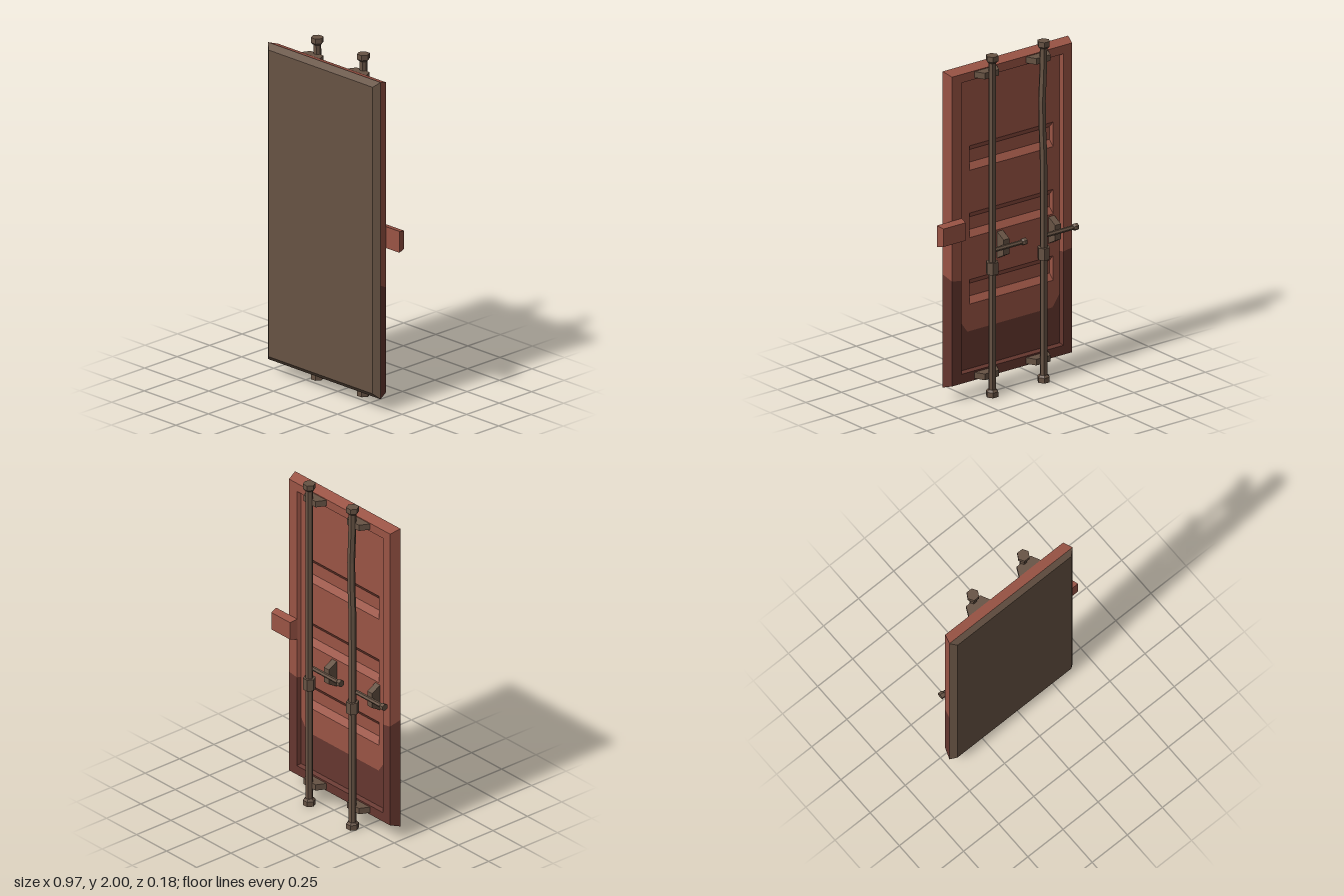
import * as THREE from 'three';

const mat = (name, color) => {
  const m = new THREE.MeshStandardMaterial({ color, flatShading: true });
  m.name = name;
  return m;
};

export function createModel() {
  const model = new THREE.Group();
  const red = mat('red paint', 0x9a5445);
  const darkRed = mat('dark red paint', 0x66372f);
  const brown = mat('brown metal', 0x675344);

  const add = (name, geo, material, parent = model) => {
    const m = new THREE.Mesh(geo, material);
    m.name = name;
    parent.add(m);
    return m;
  };

  // Strip of quads between two polylines of [x, y, z] points
  const strip = (a, b) => {
    const p = [];
    for (let i = 0; i < a.length - 1; i++) {
      p.push(...a[i], ...a[i + 1], ...b[i + 1], ...a[i], ...b[i + 1], ...b[i]);
    }
    const g = new THREE.BufferGeometry();
    g.setAttribute('position', new THREE.Float32BufferAttribute(p, 3));
    g.computeVertexNormals();
    return g;
  };
  // Rectangular ring, cut at height s into an upper and a lower polyline
  const ring = (x0, x1, y0, y1, z, s = (y0 + y1) / 2) => ({
    up: [[x0, s, z], [x0, y1, z], [x1, y1, z], [x1, s, z]],
    low: [[x1, s, z], [x1, y0, z], [x0, y0, z], [x0, s, z]],
  });
  const band = (name, a, b, upper, lower) => {
    add(name + 'Upper', strip(a.up, b.up), upper);
    add(name + 'Lower', strip(a.low, b.low), lower);
  };
  // Flat shape facing backwards (-z)
  const backFace = (pts, holes, z) => {
    const flip = (list) => list.map(([x, y]) => new THREE.Vector2(-x, y));
    const s = new THREE.Shape(flip(pts));
    holes.forEach((h) => s.holes.push(new THREE.Path(flip(h))));
    return new THREE.ShapeGeometry(s).rotateY(Math.PI).translate(0, 0, z);
  };
  const rect = (x0, x1, y0, y1) => [[x0, y0], [x1, y0], [x1, y1], [x0, y1]];

  // Door slab: front, bevel, sides, back frame and recess walls
  const cx = -0.045;
  const front = new THREE.PlaneGeometry(0.81, 1.795);
  add('doorFront', front.translate(cx, 1.0025, 0.088), brown);
  const rFront = ring(-0.45, 0.36, 0.105, 1.9, 0.088);
  const rEdge = ring(-0.485, 0.393, 0.075, 1.93, 0.06);
  band('frontBevel', rFront, rEdge, brown, brown);
  const rSide = ring(-0.485, 0.393, 0.075, 1.93, 0.06, 0.74);
  const rBack = ring(-0.465, 0.375, 0.095, 1.91, 0, 0.71);
  const rRim = ring(-0.405, 0.31, 0.15, 1.86, 0, 0.7);
  const X0 = -0.395, X1 = 0.3, Y0 = 0.16, Y1 = 1.85, Z = 0.022;
  band('doorSide', rSide, rBack, red, darkRed);
  band('backFrame', rBack, rRim, red, darkRed);
  band('recessWall', rRim, ring(X0, X1, Y0, Y1, Z, 0.7), red, darkRed);

  // Recessed panel with three grooves and a dark lower end
  const gx0 = -0.35, gx1 = 0.235;
  const grooves = [0.61, 1.0, 1.395].map((y) => [y - 0.072, y + 0.072]);
  const line = [[X0, 0.45], [X0 + 0.05, 0.38], [X1 - 0.05, 0.38], [X1, 0.45]];
  add('panelUpper', backFace([...line, [X1, Y1], [X0, Y1]],
    grooves.map(([a, b]) => rect(gx0, gx1, a, b)), Z), red);
  add('panelLower', backFace([[X0, Y0], [X1, Y0], ...line.slice().reverse()], [], Z), darkRed);
  for (const [a, b] of grooves) {
    const f = [gx0 + 0.004, gx1 - 0.004, a + 0.035, b - 0.035];
    band('grooveWall', ring(gx0, gx1, a, b, Z), ring(...f, 0.05), red, red);
    add('grooveFloor', backFace(rect(...f), [], 0.05), red);
  }

  // Box that narrows towards the back: base size at z0, end size at z1
  const taperBox = (w0, h0, w1, h1, z0, z1) => {
    const g = new THREE.BoxGeometry(1, 1, 1);
    const p = g.attributes.position;
    for (let i = 0; i < p.count; i++) {
      const base = p.getZ(i) > 0;
      p.setXYZ(i, p.getX(i) * (base ? w0 : w1), p.getY(i) * (base ? h0 : h1), base ? z0 : z1);
    }
    g.computeVertexNormals();
    return g;
  };

  // Side tab
  add('sideTab', taperBox(0.175, 0.125, 0.155, 0.105, 0, -0.045).translate(0.393, 1.0025, 0), red);

  // Six-sided turned part from [radius, y] points
  const hex = (pts) => new THREE.LatheGeometry(
    pts.map(([r, y]) => new THREE.Vector2(r, y)), 6, Math.PI / 6);
  const capPts = [[0, 0], [0.036, 0], [0.036, 0.03], [0.024, 0.042], [0, 0.042]];

  // Locking bars, each with caps, collar, brackets and handle
  [[0.14, 0], [-0.22, 0.014]].forEach(([x, bow], n) => {
    const lock = new THREE.Group();
    lock.name = n ? 'rightLockingBar' : 'leftLockingBar';
    lock.position.x = x;
    model.add(lock);
    const zBar = -0.058;

    const rod = new THREE.CylinderGeometry(0.022, 0.022, 1.96, 6, 12)
      .rotateY(Math.PI / 6).translate(0, 1, 0);
    const p = rod.attributes.position;
    for (let i = 0; i < p.count; i++) {
      const t = Math.max(0, 1 - Math.abs(p.getY(i) - 1.6) / 0.3);
      p.setX(i, p.getX(i) + bow * t);
    }
    add('rod', rod.translate(0, 0, zBar), brown, lock);
    add('bottomCap', hex(capPts).translate(0, 0, zBar), brown, lock);
    add('topCap', hex(capPts).rotateX(Math.PI).translate(0, 2, zBar), brown, lock);
    add('collar', hex([[0, 0.72], [0.036, 0.72], [0.036, 0.79], [0, 0.79]])
      .translate(0, 0, zBar), brown, lock);

    for (const y of [0.1225, 1.8875]) {
      add('barBracket', taperBox(0.156, 0.036, 0.1, 0.036, 0.001, -0.056)
        .translate(0, y, 0), brown, lock);
    }

    // Handle and its holder
    const handle = new THREE.CylinderGeometry(0.013, 0.013, 0.22, 6)
      .rotateZ(Math.PI / 2).translate(-0.12, 0.845, -0.04);
    add('handle', handle, brown, lock);
    add('handleKnob', hex([[0, 0], [0.021, 0], [0.021, 0.02], [0.014, 0.03], [0, 0.03]])
      .rotateZ(-Math.PI / 2).translate(-0.248, 0.845, -0.04), brown, lock);
    add('handleHolder', taperBox(0.04, 0.155, 0.04, 0.09, 0.022, -0.036)
      .translate(-0.118, 0.84, 0), brown, lock);
  });

  return model;
}
